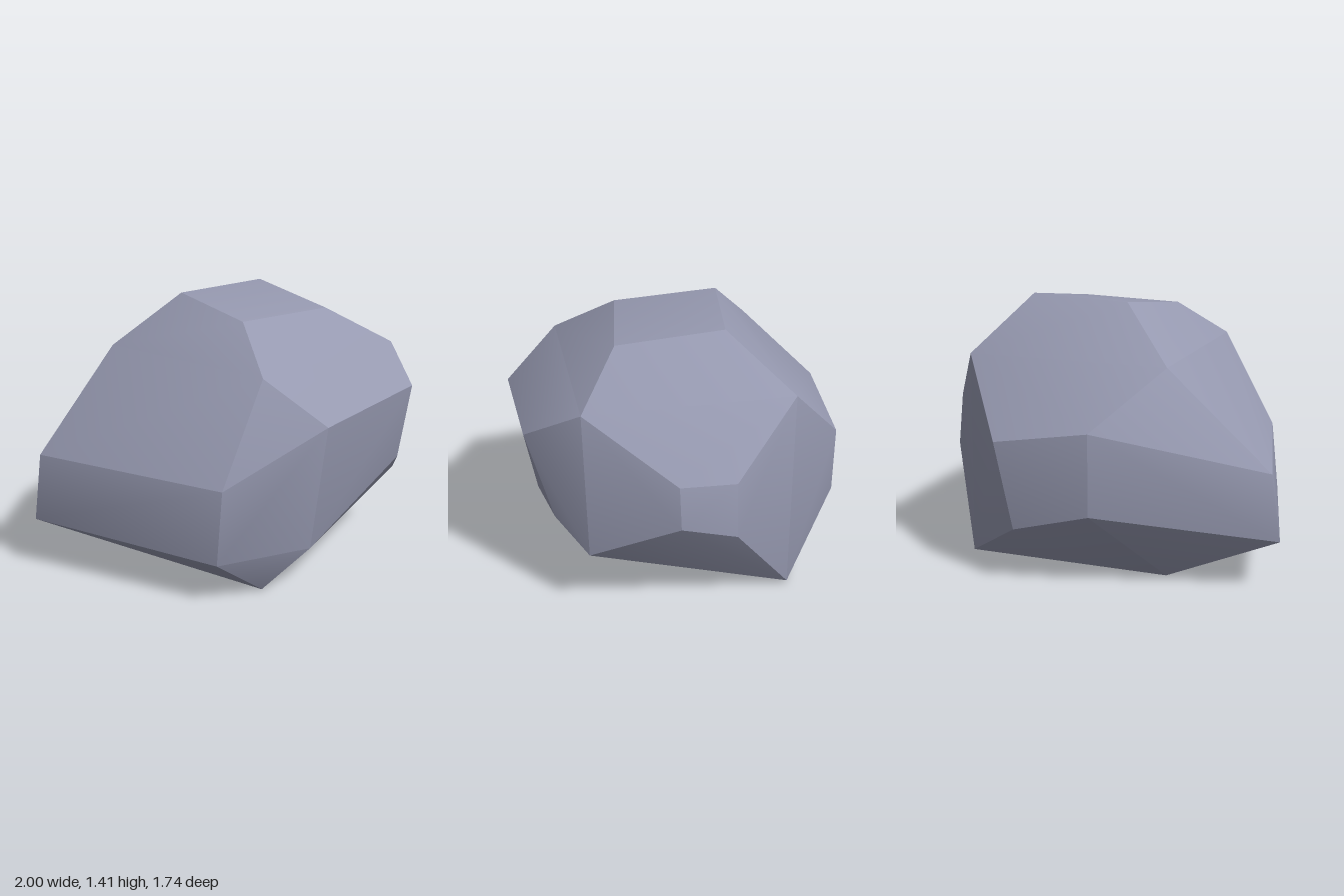
import * as THREE from 'three';

// Eight corners of the rock's core block: l/r = -x/+x, b/t = bottom/top, f/k = front/back
const corners = {
  lbf: [-0.42, 0, 0.6], rbf: [0.78, 0.36, 0.57], rbk: [0.72, 0.01, -0.5], lbk: [-0.4, 0.01, -0.5],
  ltf: [-0.4, 1.12, 0.58], rtf: [0.7, 1.12, 0.58], rtk: [0.7, 1.12, -0.51], ltk: [-0.4, 1.12, -0.51],
};

// Each side of the block grows into a smaller cap; rings run counter-clockwise from outside
const sides = {
  top: { ring: ['ltf', 'rtf', 'rtk', 'ltk'], skip: [],
    cap: [[-0.2, 1.33, 0.27], [0.38, 1.33, 0.36], [0.47, 1.41, -0.19], [-0.1, 1.4, -0.27]] },
  front: { ring: ['lbf', 'rbf', 'rtf', 'ltf'], skip: [3],
    cap: [[-0.2, 0.2, 0.74], [0.6, 0.5, 0.72], [0.52, 0.95, 0.85], [-0.24, 0.89, 0.87]] },
  right: { ring: ['rbf', 'rbk', 'rtk', 'rtf'], skip: [],
    cap: [[1, 0.6, 0.14], [0.98, 0.51, -0.15], [0.95, 0.8, -0.15], [0.95, 0.81, 0.14]] },
  back: { ring: ['rbk', 'lbk', 'ltk', 'rtk'], skip: [1],
    cap: [[0.3, 0.3, -0.87], [-0.1, 0.4, -0.84], [-0.1, 0.83, -0.84], [0.42, 0.74, -0.83]] },
  left: { ring: ['lbk', 'lbf', 'ltf', 'ltk'], skip: [1, 3],
    cap: [[-1, 0.27, -0.5], [-0.73, 0.22, 0.57], [-0.69, 0.6, 0.57], [-0.95, 0.62, -0.5]] },
  // shallow hollow underneath, sloping up towards the back
  bottom: { ring: ['lbk', 'rbk', 'rbf', 'lbf'], skip: [],
    cap: [[0.1, 0.21, -0.47], [0.72, 0.16, -0.48], [0.77, 0.36, 0.55], [-0.38, 0.02, 0.57]] },
};

// Broad slopes that join the left cap to the back and front caps
const slopes = [
  ['ltk', 'back2', 'left3'], ['back2', 'back1', 'left0', 'left3'], ['back1', 'lbk', 'left0'],
  ['ltf', 'left2', 'front3'], ['left2', 'left1', 'front0', 'front3'], ['left1', 'lbf', 'front0'],
];

function rockGeometry() {
  const points = {};
  const add = (name, p) => { points[name] = new THREE.Vector3(...p); };
  Object.entries(corners).forEach(([name, p]) => add(name, p));

  const faces = [...slopes];
  for (const [side, { ring, cap, skip }] of Object.entries(sides)) {
    cap.forEach((p, i) => add(side + i, p));
    faces.push(cap.map((_, i) => side + i));
    for (let i = 0; i < 4; i++) {
      const j = (i + 1) % 4;
      if (!skip.includes(i)) faces.push([ring[i], ring[j], side + j, side + i]);
    }
  }

  // Area-weighted normals of faces and of points
  const smooth = {};
  for (const name in points) smooth[name] = new THREE.Vector3();
  const flat = faces.map((face) => {
    const n = new THREE.Vector3();
    face.forEach((name, i) => {
      n.add(new THREE.Vector3().crossVectors(points[name], points[face[(i + 1) % face.length]]));
    });
    face.forEach((name) => smooth[name].add(n));
    return n.normalize();
  });

  // Split four-sided faces along the diagonal that bulges outwards
  const outwards = (face, n) => {
    if (face.length < 4) return face;
    const [a, b, c, d] = face.map((name) => points[name].dot(n));
    return a + c >= b + d ? face : [...face.slice(1), face[0]];
  };

  // Soft facets: each face normal leans a little towards its corner normals
  const position = [], normal = [];
  faces.forEach((ring, f) => {
    const face = outwards(ring, flat[f]);
    for (let i = 1; i < face.length - 1; i++) {
      for (const name of [face[0], face[i], face[i + 1]]) {
        const n = flat[f].clone().lerp(smooth[name].clone().normalize(), 0.25).normalize();
        position.push(...points[name].toArray());
        normal.push(...n.toArray());
      }
    }
  });
  const geometry = new THREE.BufferGeometry();
  geometry.setAttribute('position', new THREE.Float32BufferAttribute(position, 3));
  geometry.setAttribute('normal', new THREE.Float32BufferAttribute(normal, 3));
  return geometry;
}

export function createModel() {
  const group = new THREE.Group();
  group.name = 'rock';
  const stone = new THREE.MeshStandardMaterial({ color: 0x9699b0 });
  stone.name = 'blue grey stone';
  const boulder = new THREE.Mesh(rockGeometry(), stone);
  boulder.name = 'boulder';
  group.add(boulder);
  return group;
}
